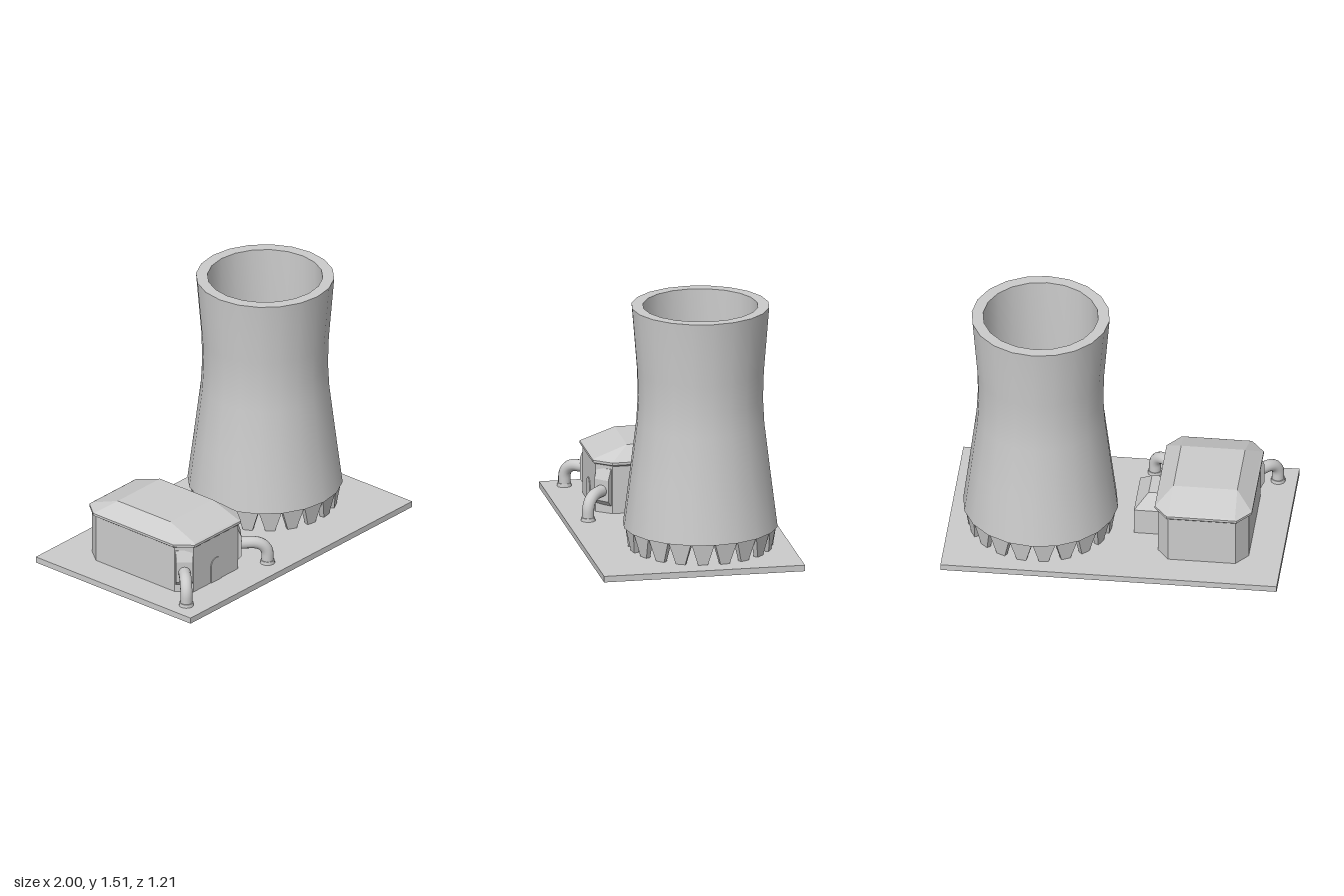
import * as THREE from 'three';
import { toCreasedNormals } from 'three/addons/utils/BufferGeometryUtils.js';

const material = new THREE.MeshStandardMaterial({ color: 0xcccccc });

function part(name, geometry, parent) {
  const mesh = new THREE.Mesh(geometry, material);
  mesh.name = name;
  parent.add(mesh);
  return mesh;
}

// Rectangle outline with cut corners, counter-clockwise seen from above
function ring({ y, hx, hz, cx = 0, cz = 0, cutX = 0, cutZ = 0 }) {
  const a = hx - cutX, b = hz - cutZ;
  return [[-a, hz], [a, hz], [hx, b], [hx, -b], [a, -hz], [-a, -hz], [-hx, -b], [-hx, b]]
    .map(([x, z]) => new THREE.Vector3(cx + x, y, cz + z));
}

// Flat-sided solid through a stack of rings, lowest first
function loft(levels) {
  const rings = levels.map(ring), positions = [];
  const tri = (a, b, c) => {
    if (new THREE.Triangle(a, b, c).getArea() < 1e-8) return;
    for (const p of [a, b, c]) positions.push(p.x, p.y, p.z);
  };
  for (let k = 0; k < rings.length - 1; k++) {
    const lo = rings[k], hi = rings[k + 1];
    for (let i = 0; i < 8; i++) {
      const j = (i + 1) % 8;
      tri(lo[i], lo[j], hi[j]);
      tri(lo[i], hi[j], hi[i]);
    }
  }
  const bottom = rings[0], top = rings[rings.length - 1];
  for (let i = 1; i < 7; i++) {
    tri(top[0], top[i], top[i + 1]);
    tri(bottom[0], bottom[i + 1], bottom[i]);
  }
  const geometry = new THREE.BufferGeometry();
  geometry.setAttribute('position', new THREE.Float32BufferAttribute(positions, 3));
  geometry.computeVertexNormals();
  return geometry;
}

const GROUND = 0.037;

function coolingTower() {
  const tower = new THREE.Group();
  tower.name = 'coolingTower';
  tower.position.set(0.463, 0, -0.08);

  // Waisted shell with a thick wall, open at both ends
  const profile = [
    [0.46, 0.165], [0.42, 0.48], [0.381, 0.8], [0.373, 0.95], [0.378, 1.12], [0.41, 1.513],
    [0.342, 1.513], [0.336, 1.0], [0.345, 0.6], [0.39, 0.165], [0.46, 0.165],
  ].map(([r, y]) => new THREE.Vector2(r, y));
  part('towerShell', toCreasedNormals(new THREE.LatheGeometry(profile, 20), 0.5), tower);

  // Ring of tapered legs
  const leg = loft([
    { y: GROUND - 0.005, hx: 0.027, hz: 0.014, cz: 0.413 },
    { y: 0.17, hx: 0.069, hz: 0.02, cz: 0.426 },
  ]);
  for (let i = 0; i < 20; i++) {
    part('towerLeg', leg, tower).rotation.y = (i + 0.5) * Math.PI / 10;
  }
  return tower;
}

function reactorBuilding() {
  const building = new THREE.Group();
  building.name = 'reactorBuilding';
  building.position.x = -0.531;

  const wall = { hx: 0.27, hz: 0.397, cutX: 0.07, cutZ: 0.09 };
  part('walls', loft([{ y: GROUND - 0.005, ...wall }, { y: 0.34, ...wall }]), building);

  // Hipped roof with a bevelled eave
  const cut = { cutX: 0.08, cutZ: 0.1 };
  part('roof', loft([
    { y: 0.328, hx: 0.272, hz: 0.398, ...cut },
    { y: 0.34, hx: 0.289, hz: 0.412, ...cut },
    { y: 0.355, hx: 0.289, hz: 0.412, ...cut },
    { y: 0.363, hx: 0.278, hz: 0.4, ...cut },
    { y: 0.435, hx: 0.19, hz: 0.205 },
  ]), building);

  // Arched door
  const arch = new THREE.Shape();
  arch.moveTo(-0.047, GROUND);
  arch.lineTo(0.047, GROUND);
  arch.lineTo(0.047, 0.143);
  arch.absarc(0, 0.143, 0.047, 0, Math.PI);
  arch.closePath();
  const door = new THREE.ExtrudeGeometry(arch, { depth: 0.012, bevelEnabled: false, curveSegments: 8 });
  part('door', door, building).position.z = 0.39;

  // Side annex with a hipped roof
  part('annex', loft([
    { y: GROUND - 0.005, hx: 0.09, hz: 0.165, cx: 0.341, cz: 0.015 },
    { y: 0.2, hx: 0.09, hz: 0.165, cx: 0.341, cz: 0.015 },
    { y: 0.28, hx: 0.05, hz: 0.087, cx: 0.302, cz: 0.015 },
  ]), building);

  for (const side of [-1, 1]) {
    // Sloped block on the front corner that carries the pipe
    const corner = new THREE.Group();
    corner.name = 'pipeMount';
    corner.position.set(side * 0.235, 0, 0.352);
    corner.rotation.y = side * Math.PI / 4;
    building.add(corner);
    part('mountBlock', loft([
      { y: 0.085, hx: 0.05, hz: 0.02, cz: -0.02 },
      { y: 0.115, hx: 0.05, hz: 0.03, cz: -0.002 },
      { y: 0.245, hx: 0.05, hz: 0.03, cz: -0.002 },
      { y: 0.31, hx: 0.05, hz: 0.02, cz: -0.02 },
    ]), corner);

    // Elbow pipe from the corner down to the ground
    const endX = side * 0.366 + 0.01, endZ = 0.475;
    const at = (t, y) => new THREE.Vector3(
      THREE.MathUtils.lerp(endX, side * 0.235, t), y, THREE.MathUtils.lerp(endZ, 0.352, t));
    const path = new THREE.CurvePath();
    path.add(new THREE.LineCurve3(at(1, 0.178), at(0.55, 0.178)));
    path.add(new THREE.CubicBezierCurve3(at(0.55, 0.178), at(0.22, 0.178), at(0, 0.145), at(0, 0.09)));
    path.add(new THREE.LineCurve3(at(0, 0.09), at(0, GROUND)));
    part('pipe', new THREE.TubeGeometry(path, 24, 0.036, 14, false), building);

    // Foot flange
    const flange = toCreasedNormals(new THREE.CylinderGeometry(0.041, 0.044, 0.02, 14), 0.6);
    part('pipeFlange', flange, building).position.set(endX, GROUND + 0.01, endZ);
  }
  return building;
}

export function createModel() {
  const model = new THREE.Group();
  model.name = 'powerPlant';
  part('basePlate', new THREE.BoxGeometry(2, GROUND, 1.21), model).position.y = GROUND / 2;
  model.add(coolingTower(), reactorBuilding());
  return model;
}
